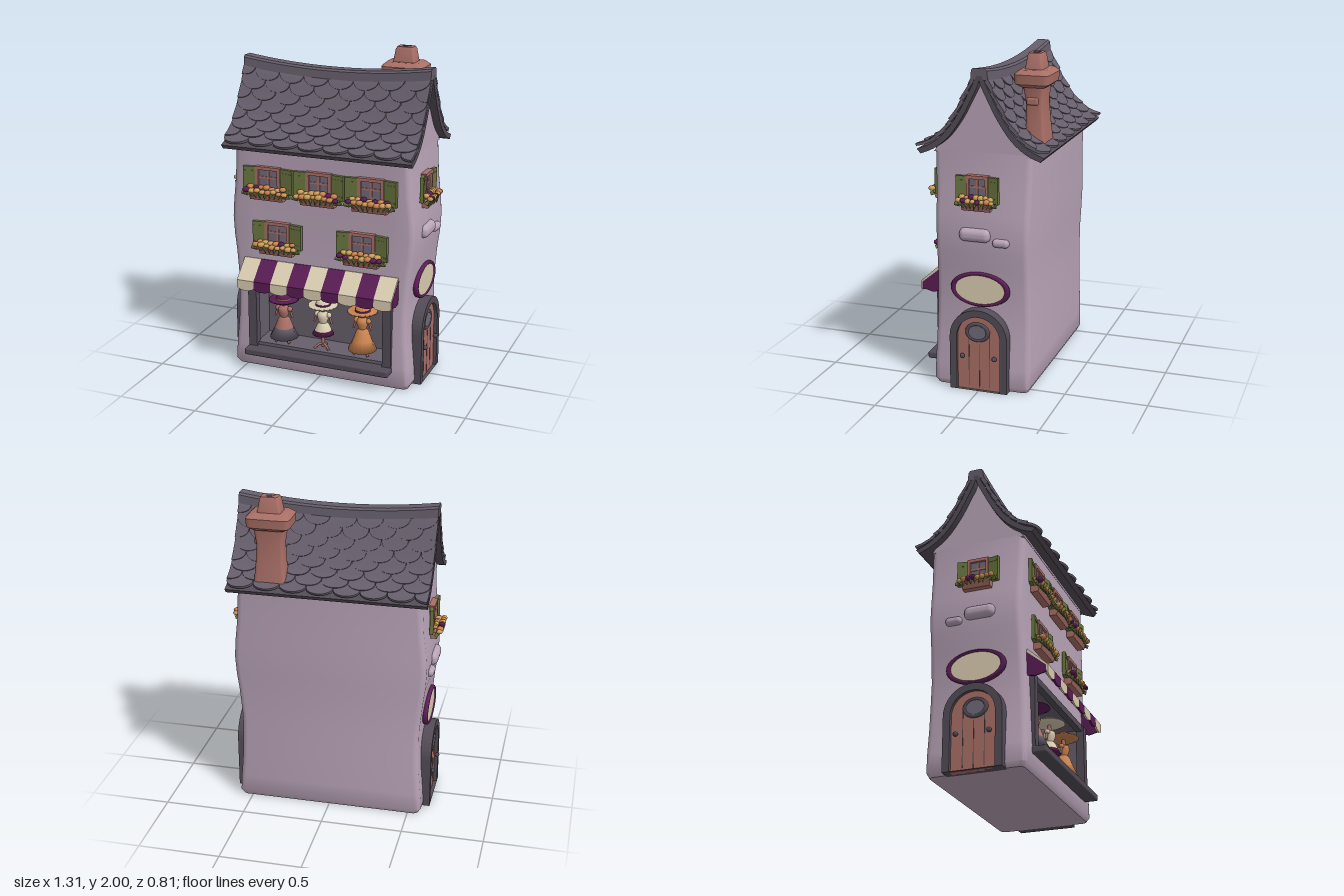
import * as THREE from 'three';
import { mergeGeometries, toCreasedNormals } from 'three/addons/utils/BufferGeometryUtils.js';
import { RoundedBoxGeometry } from 'three/addons/geometries/RoundedBoxGeometry.js';

const material = (name, color) => Object.assign(new THREE.MeshStandardMaterial({ color }), { name });
const wall = material('mauve plaster', 0xb9a4b8), slate = material('slate', 0x665e6b);
const trim = material('dark trim', 0x534c57), clay = material('terracotta', 0xa96f66);
const green = material('shutter green', 0x68753f), cream = material('cream', 0xd9ccb0);
const purple = material('plum', 0x5a1c54), orange = material('apricot', 0xcb8450);
const yellow = material('marigold', 0xcfa058), glass = material('window glass', 0x716b7a);

let seed = 7;
const rand = () => (seed = (seed * 16807) % 2147483647) / 2147483647;

function add(parent, name, geo, mat, x = 0, y = 0, z = 0) {
  const m = new THREE.Mesh(geo, mat);
  m.name = name;
  m.position.set(x, y, z);
  parent.add(m);
  return m;
}
function group(parent, name, x = 0, y = 0, z = 0) {
  const g = new THREE.Group();
  g.name = name;
  g.position.set(x, y, z);
  parent.add(g);
  return g;
}
const box = (w, h, d) => new THREE.BoxGeometry(w, h, d);
const shapeOf = (pts) => new THREE.Shape(pts.map(([x, y]) => new THREE.Vector2(x, y)));
const extrude = (shape, depth, steps = 1) =>
  new THREE.ExtrudeGeometry(shape, { depth, steps, bevelEnabled: false, curveSegments: 10 });

// Loft of rounded rectangles [y, halfX, frontZ, backZ, radius]; hole opens the middle of the front
function loft(rows, hole = [9, 9]) {
  const pos = [], idx = [];
  const rings = rows.map(([y, hx, zf, zb, r]) => {
    const pts = [[-hx * 0.75, zf], [hx * 0.75, zf]];
    [[1, zf - r, 90], [1, zb + r, 0], [-1, zb + r, -90], [-1, zf - r, -180]].forEach(([s, cz, a0]) => {
      for (let k = 0; k < 4; k++) {
        const a = THREE.MathUtils.degToRad(a0 - k * 30);
        pts.push([s * (hx - r) + r * Math.cos(a), cz + r * Math.sin(a)]);
      }
    });
    pts.forEach(([x, z]) => pos.push(x, y, z));
    return pts.length;
  });
  const n = rings[0], last = (rows.length - 1) * n;
  for (let i = 0; i < rows.length - 1; i++) for (let j = 0; j < n; j++) {
    if (j === 0 && rows[i][0] >= hole[0] && rows[i + 1][0] <= hole[1]) continue;
    const a = i * n + j, b = i * n + (j + 1) % n;
    idx.push(a, b, b + n, a, b + n, a + n);
  }
  for (let j = 1; j < n - 1; j++) idx.push(0, j + 1, j, last, last + j, last + j + 1);
  const g = new THREE.BufferGeometry();
  g.setAttribute('position', new THREE.Float32BufferAttribute(pos, 3));
  g.setIndex(idx);
  return toCreasedNormals(g, 0.7);
}

// Roof profile from ridge to eave (x = distance from ridge), with a sag along the ridge
const slope = new THREE.CatmullRomCurve3([[0.015, 1.89], [0.07, 1.78], [0.128, 1.67], [0.215, 1.55],
  [0.305, 1.48], [0.383, 1.447]].map(([x, y]) => new THREE.Vector3(x, y, 0)));
const sag = (x, y) => 0.045 * (1 - (x / 0.6) ** 2) * THREE.MathUtils.clamp((y - 1.45) / 0.43, 0, 1);
function sagGeometry(g) {
  const p = g.attributes.position;
  for (let i = 0; i < p.count; i++) p.setY(i, p.getY(i) - sag(p.getX(i), p.getY(i)));
  g.computeVertexNormals();
  return g;
}
// Extrudes a [z, y] outline along x, centred
const alongX = (pts, width, steps = 12) =>
  extrude(shapeOf(pts.map(([z, y]) => [-z, y])), width, steps).rotateY(Math.PI / 2).translate(-width / 2, 0, 0);

function shingles() {
  const rows = 8, cols = 8, w = 1.2 / 7.5, len = 0.135, list = [];
  const total = slope.getLength();
  for (let r = 0; r < rows; r++) for (let c = 0; c < cols; c++) {
    const tongue = new THREE.Shape();
    const h = w * 0.49, mid = -len * 0.55;
    tongue.moveTo(h, 0).lineTo(-h, 0).lineTo(-h, mid);
    tongue.absellipse(0, mid, h, len * 0.45, Math.PI, Math.PI * 2);
    const g = extrude(tongue, 0.016), p = g.attributes.position;
    const end = total * (0.16 + 0.84 * (r / (rows - 1))) + (rand() - 0.5) * 0.012;
    const cx = -0.6 + w * (c + (r % 2 ? 0.5 : 0));
    for (let i = 0; i < p.count; i++) {
      const down = -p.getY(i) / len;
      const u = THREE.MathUtils.clamp((end - len * (1 - down)) / total, 0, 1);
      const q = slope.getPointAt(u), t = slope.getTangentAt(u), lift = p.getZ(i) + 0.016 * down;
      const x = THREE.MathUtils.clamp(cx + p.getX(i), -0.6, 0.6);
      const y = q.y + t.x * lift;
      p.setXYZ(i, x, y - sag(x, y), q.x - t.y * lift);
    }
    g.computeVertexNormals();
    list.push(g);
  }
  return mergeGeometries(list);
}

function addRoof(root) {
  const roof = group(root, 'roof', 0, 0, -0.01);
  const top = slope.getPoints(14).map((p) => [p.x, p.y]);
  const under = top.map(([z, y]) => [Math.max(z - 0.022, 0), y - 0.026]);
  const mirror = (pts) => pts.map(([z, y]) => [-z, y]).reverse();
  add(roof, 'roofDeck', sagGeometry(alongX([...mirror(top), ...top, ...under.reverse(), ...mirror(under)], 1.2)), trim);
  const gable = under.filter(([z]) => z < 0.3).reverse();
  add(roof, 'gableWall', sagGeometry(alongX([[-0.295, 1.43], ...mirror(gable), ...gable, [0.295, 1.43]], 1.108)), wall);
  const tiles = shingles();
  add(roof, 'frontShingles', tiles, slate);
  add(roof, 'backShingles', tiles, slate).rotation.y = Math.PI;
  add(roof, 'ridgeCap', sagGeometry(alongX([[-0.052, 1.865], [-0.047, 1.92], [-0.035, 1.932], [0.035, 1.932],
    [0.047, 1.92], [0.052, 1.865]], 1.2)), slate);
}

function addChimney(root) {
  const c = group(root, 'chimney', 0.343, 0, -0.268);
  add(c, 'chimneyShaft', loft([[1.44, 0.1, 0.055, -0.08, 0.02], [1.6, 0.085, 0.045, -0.065, 0.02],
    [1.72, 0.08, 0.045, -0.055, 0.02], [1.83, 0.095, 0.06, -0.065, 0.02]]), clay);
  add(c, 'chimneyCollar', loft([[1.81, 0.1, 0.075, -0.075, 0.03], [1.83, 0.128, 0.1, -0.1, 0.03],
    [1.885, 0.132, 0.105, -0.105, 0.03], [1.91, 0.105, 0.075, -0.075, 0.03]]), clay);
  add(c, 'chimneyPot', loft([[1.9, 0.072, 0.055, -0.055, 0.015], [1.985, 0.058, 0.043, -0.043, 0.015],
    [2, 0.05, 0.036, -0.036, 0.015]]), clay);
  add(c, 'potOpening', box(0.05, 0.004, 0.036), trim, 0, 2);
  add(c, 'proudBrick', new RoundedBoxGeometry(0.05, 0.045, 0.07, 2, 0.012), clay, 0.07, 1.73, 0);
}

// Shuttered window with a flower box, facing +z
function addWindow(parent, name, x, y, z, width = 1) {
  const g = group(parent, name, x, y, z);
  g.scale.x = width;
  add(g, 'pane', box(0.14, 0.14, 0.02), glass);
  for (const s of [-1, 1]) {
    add(g, 'windowSide', box(0.02, 0.155, 0.04), clay, s * 0.072, 0, 0.005);
    add(g, 'windowRail', box(0.16, 0.02, 0.04), clay, 0, s * 0.068, 0.005);
    const shutter = add(g, 'shutter', box(0.08, 0.155, 0.022), green, s * 0.122, -0.005, 0.012);
    shutter.rotation.y = -s * 0.15;
    for (const k of [-1, 1]) add(shutter, 'shutterBatten', box(0.066, 0.008, 0.026), green, 0, k * 0.05, 0);
  }
  add(g, 'mullion', box(0.014, 0.14, 0.03), clay);
  add(g, 'glazingBar', box(0.14, 0.012, 0.03), clay, 0, 0.01);
  add(g, 'flowerBox', alongX([[0, -0.125], [0.045, -0.125], [0.06, -0.082], [0, -0.082]], 0.215, 1), clay);
  const blooms = [yellow, orange, purple, yellow, orange];
  for (let i = 0; i < 15; i++) {
    const u = (i % 8) / 7 - 0.5, row = i < 8 ? 0 : 1;
    const f = add(g, 'flower', new THREE.IcosahedronGeometry(0.017 + rand() * 0.007, 1), blooms[Math.floor(rand() * 5)],
      u * 0.25 + row * 0.015, -0.072 + row * 0.014 + rand() * 0.012, 0.062 - row * 0.03);
    f.scale.y = 0.75;
  }
  for (let i = 0; i < 9; i++) {
    const u = i / 8 - 0.5;
    const leaf = add(g, 'leaf', new THREE.ConeGeometry(0.016, 0.045, 4), green, u * 0.27, -0.092, 0.066 - Math.abs(u) * 0.03);
    leaf.rotation.set(Math.PI * 0.9, 0, u * 2.2);
  }
}

function archShape(r, spring) {
  const s = new THREE.Shape();
  s.moveTo(-r, 0).lineTo(r, 0).lineTo(r, spring);
  s.absarc(0, spring, r, 0, Math.PI);
  return s;
}
function addOval(parent, name, x, y, z, rx, ry, tube, rimMat, faceMat) {
  const g = group(parent, name, x, y, z);
  g.scale.y = ry / rx;
  add(g, 'rim', new THREE.TorusGeometry(rx - tube, tube, 8, 32), rimMat);
  add(g, 'face', new THREE.CylinderGeometry(rx - tube, rx - tube, 0.02, 32).rotateX(Math.PI / 2), faceMat);
}

// Door, sign, stones and window of one end wall
function addEnd(root, s) {
  const g = group(root, s > 0 ? 'leftEnd' : 'rightEnd');
  g.rotation.y = s * Math.PI / 2;
  const frame = archShape(0.178, 0.33);
  frame.holes.push(archShape(0.135, 0.33));
  add(g, 'doorFrame', extrude(frame, 0.08), trim, 0, 0, 0.542);
  add(g, 'door', extrude(archShape(0.138, 0.33), 0.06), clay, 0, 0, 0.54);
  for (const k of [-1, 0, 1]) add(g, 'doorGroove', box(0.004, k ? 0.36 : 0.28, 0.004), trim, k * 0.065, k ? 0.2 : 0.15, 0.6);
  addOval(g, 'doorWindow', -s * 0.01, 0.365, 0.598, 0.078, 0.062, 0.014, trim, glass);
  for (const k of [-1, 1]) add(g, 'doorKnob', new THREE.SphereGeometry(0.015, 10, 8), trim, k * 0.1, 0.215, 0.622);
  addOval(g, 'oval sign', 0, 0.625, 0.575, 0.185, 0.106, 0.018, purple, cream);
  add(g, 'largeStone', new RoundedBoxGeometry(0.19, 0.08, 0.08, 3, 0.035), wall, -s * 0.025, 0.96, 0.585);
  add(g, 'smallStone', new RoundedBoxGeometry(0.1, 0.048, 0.07, 3, 0.022), wall, s * 0.135, 0.925, 0.585);
  addWindow(g, 'endWindow', -s * 0.01, 1.235, 0.572, 0.8);
}

function addShopFront(root) {
  const g = group(root, 'shopFront');
  add(g, 'recessBack', box(0.9, 0.46, 0.02), slate, 0, 0.35, 0.1);
  add(g, 'recessFloor', box(0.9, 0.03, 0.2), slate, 0, 0.15, 0.19);
  add(g, 'recessCeiling', box(0.9, 0.02, 0.2), slate, 0, 0.57, 0.19);
  for (const s of [-1, 1]) {
    add(g, 'recessSide', box(0.02, 0.44, 0.2), slate, s * 0.435, 0.35, 0.19);
    add(g, 'windowPost', box(0.055, 0.46, 0.05), trim, s * 0.444, 0.35, 0.29);
  }
  add(g, 'windowHead', box(0.94, 0.04, 0.04), trim, 0, 0.57, 0.285);
  add(g, 'windowSill', new RoundedBoxGeometry(0.95, 0.042, 0.11, 2, 0.01), trim, 0, 0.124, 0.325);

  // Striped awning with scalloped valance
  const awning = group(g, 'awning'), w = 1.005 / 9;
  for (let i = 0; i < 9; i++) {
    const mat = i % 2 ? purple : cream, x = (i - 4) * w;
    add(awning, 'awningStripe', alongX([[0.265, 0.715], [0.285, 0.72], [0.405, 0.61], [0.39, 0.605]], w, 1), mat, x);
    const flap = new THREE.Shape();
    flap.moveTo(w / 2, 0).lineTo(-w / 2, 0).lineTo(-w / 2, -0.045);
    flap.absellipse(0, -0.045, w / 2, 0.02, Math.PI, Math.PI * 2);
    add(awning, 'awningFlap', extrude(flap, 0.012), mat, x, 0.611, 0.393);
  }
  for (const s of [-1, 1]) add(awning, 'awningSide',
    alongX([[0.27, 0.71], [0.395, 0.605], [0.395, 0.565], [0.33, 0.55], [0.27, 0.56]], 0.008, 1), purple, s * 0.5);
}

// Dress form: skirt in two bands, bodice, hat and stand
function addDressForm(root, x, hem, hemR, bodiceMat, skirtMat, hemMat, hatMat, split) {
  const g = group(root, 'dressForm', x, 0, 0.235);
  const lathe = (pts) => new THREE.LatheGeometry(pts.map(([r, y]) => new THREE.Vector2(r, y)), 18);
  const rSplit = THREE.MathUtils.lerp(hemR, 0.024, (split - hem) / (0.34 - hem));
  add(g, 'hem', lathe([[0, hem + 0.01], [hemR, hem], [rSplit, split]]), hemMat);
  add(g, 'skirt', lathe([[rSplit, split], [0.038, 0.325], [0.024, 0.34]]), skirtMat);
  add(g, 'bodice', lathe([[0.024, 0.34], [0.036, 0.375], [0.034, 0.4], [0.014, 0.412], [0, 0.413]]), bodiceMat);
  add(g, 'neck', new THREE.CylinderGeometry(0.011, 0.013, 0.05, 10), clay, 0, 0.425);
  for (const s of [-1, 1]) {
    add(g, 'sleeve', new THREE.SphereGeometry(0.017, 10, 8), bodiceMat, s * 0.04, 0.392);
    add(g, 'arm', new THREE.CylinderGeometry(0.008, 0.007, 0.05, 8), clay, s * 0.05, 0.362).rotation.z = s * 0.3;
  }
  const hat = add(g, 'hat', lathe([[0, 0.445], [0.07, 0.44], [0.095, 0.452], [0.09, 0.46], [0.046, 0.455],
    [0.044, 0.478], [0.03, 0.489], [0, 0.49]]), hatMat);
  add(hat, 'hatBand', new THREE.CylinderGeometry(0.047, 0.048, 0.01, 18), hatMat === purple ? clay : purple, 0, 0.462);
  add(g, 'standPole', new THREE.CylinderGeometry(0.009, 0.011, 0.16, 8), clay, 0, 0.26);
  for (let i = 0; i < 3; i++) {
    const a = Math.PI / 6 + i * Math.PI * 2 / 3;
    const curve = new THREE.QuadraticBezierCurve3(new THREE.Vector3(0, 0.2, 0),
      new THREE.Vector3(Math.cos(a) * 0.03, 0.2, Math.sin(a) * 0.03),
      new THREE.Vector3(Math.cos(a) * 0.055, 0.17, Math.sin(a) * 0.055));
    add(g, 'standFoot', new THREE.TubeGeometry(curve, 5, 0.008, 6), clay);
  }
}

export function createModel() {
  const root = new THREE.Group();
  root.name = 'dressShop';
  // Wavy plaster walls, open at the shop window
  add(root, 'walls', loft([[0, 0.565, 0.28, -0.285, 0.03], [0.03, 0.582, 0.298, -0.3, 0.035],
    [0.14, 0.574, 0.298, -0.302, 0.035], [0.3, 0.56, 0.292, -0.3, 0.035], [0.45, 0.555, 0.287, -0.298, 0.035],
    [0.57, 0.556, 0.282, -0.295, 0.035], [0.75, 0.572, 0.276, -0.294, 0.035], [0.85, 0.585, 0.274, -0.296, 0.035],
    [0.97, 0.592, 0.274, -0.299, 0.035], [1.08, 0.584, 0.275, -0.3, 0.035], [1.22, 0.567, 0.277, -0.303, 0.035],
    [1.46, 0.553, 0.284, -0.308, 0.035]], [0.14, 0.57]), wall);
  addRoof(root);
  addChimney(root);
  addShopFront(root);
  for (const x of [-0.33, 0, 0.33]) addWindow(root, 'upperWindow', x, 1.24, 0.282);
  for (const x of [-0.275, 0.275]) addWindow(root, 'lowerWindow', x, 0.895, 0.278);
  for (const s of [-1, 1]) addEnd(root, s);
  addDressForm(root, -0.265, 0.205, 0.09, clay, clay, slate, purple, 0.27);
  addDressForm(root, 0, 0.265, 0.068, cream, cream, purple, cream, 0.29);
  addDressForm(root, 0.26, 0.205, 0.09, orange, orange, orange, orange, 0.27);
  return root;
}
